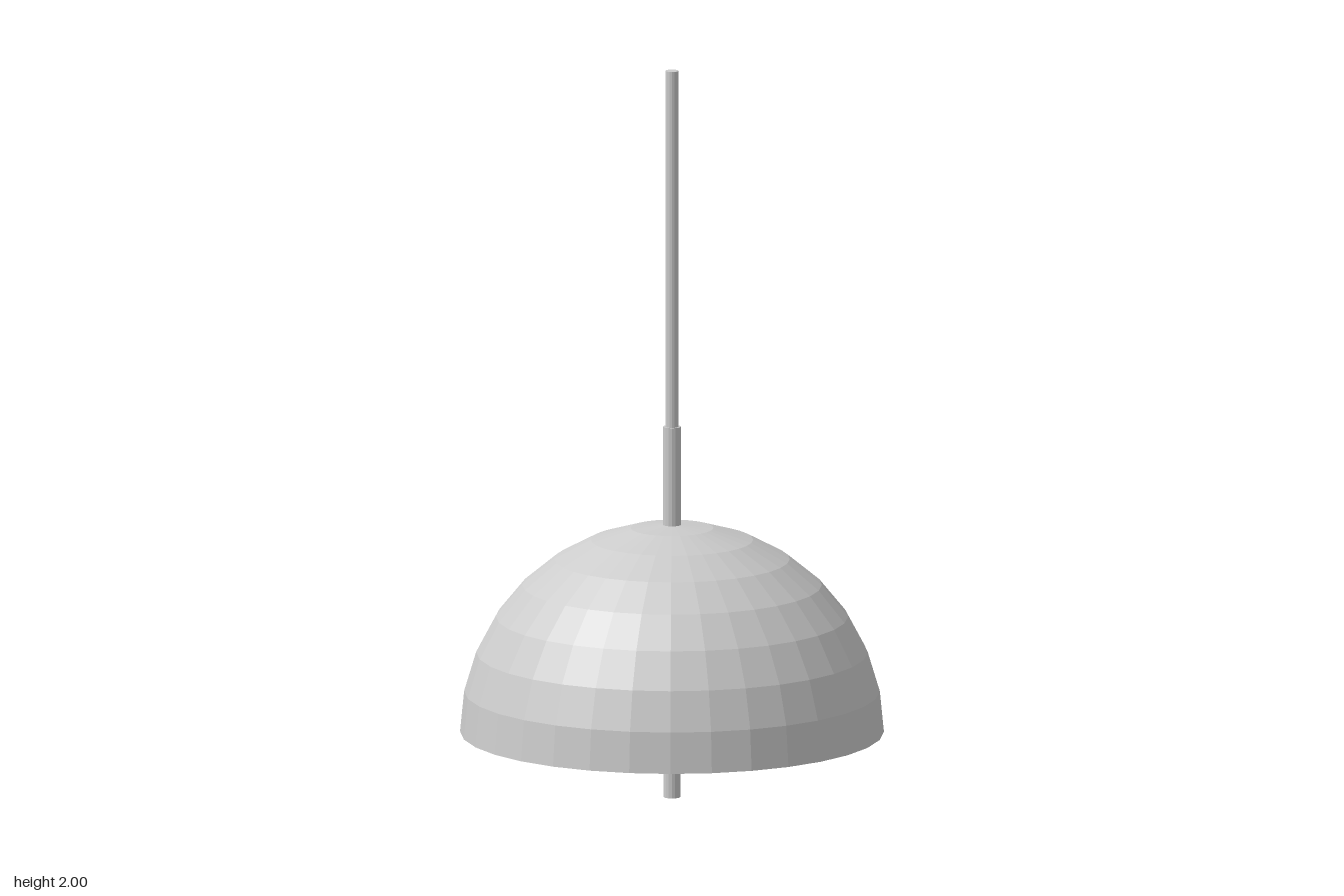
import * as THREE from 'three';

const RIM_Y = 0.18, OUTER_R = 0.572, INNER_R = 0.56, RINGS = 8;

export function createModel() {
  const group = new THREE.Group();
  const material = new THREE.MeshStandardMaterial({ color: 0xcccccc, flatShading: true });

  const add = (name, geometry) => {
    const mesh = new THREE.Mesh(geometry, material);
    mesh.name = name;
    group.add(mesh);
    return mesh;
  };

  // Straight or tapered round bar between two heights
  const bar = (name, y0, y1, r0, r1 = r0) => {
    const mesh = add(name, new THREE.CylinderGeometry(r1, r0, y1 - y0, 16));
    mesh.position.y = (y0 + y1) / 2;
  };

  // Thick hemispherical shade: down the inside, across the rim, up the outside
  const arcPoint = (radius, i) => {
    const a = (i / RINGS) * Math.PI / 2;
    return new THREE.Vector2(i === 0 ? 0 : radius * Math.sin(a), RIM_Y + (i === RINGS ? 0 : radius * Math.cos(a)));
  };
  const profile = [];
  for (let i = 0; i <= RINGS; i++) profile.push(arcPoint(INNER_R, i));
  for (let i = RINGS; i >= 0; i--) profile.push(arcPoint(OUTER_R, i));
  add('shade', new THREE.LatheGeometry(profile, 32));

  // Hanging rod and the sleeve that joins it to the shade
  bar('hangingRod', 1.01, 2, 0.018);
  bar('sleeve', 0.74, 1.02, 0.024);

  // Thin stem inside the shade, ending in a tapered handle
  bar('innerStem', 0.18, 0.745, 0.012);
  bar('handleTaper', 0.165, 0.19, 0.023, 0.012);
  bar('handle', 0, 0.165, 0.023);

  return group;
}
